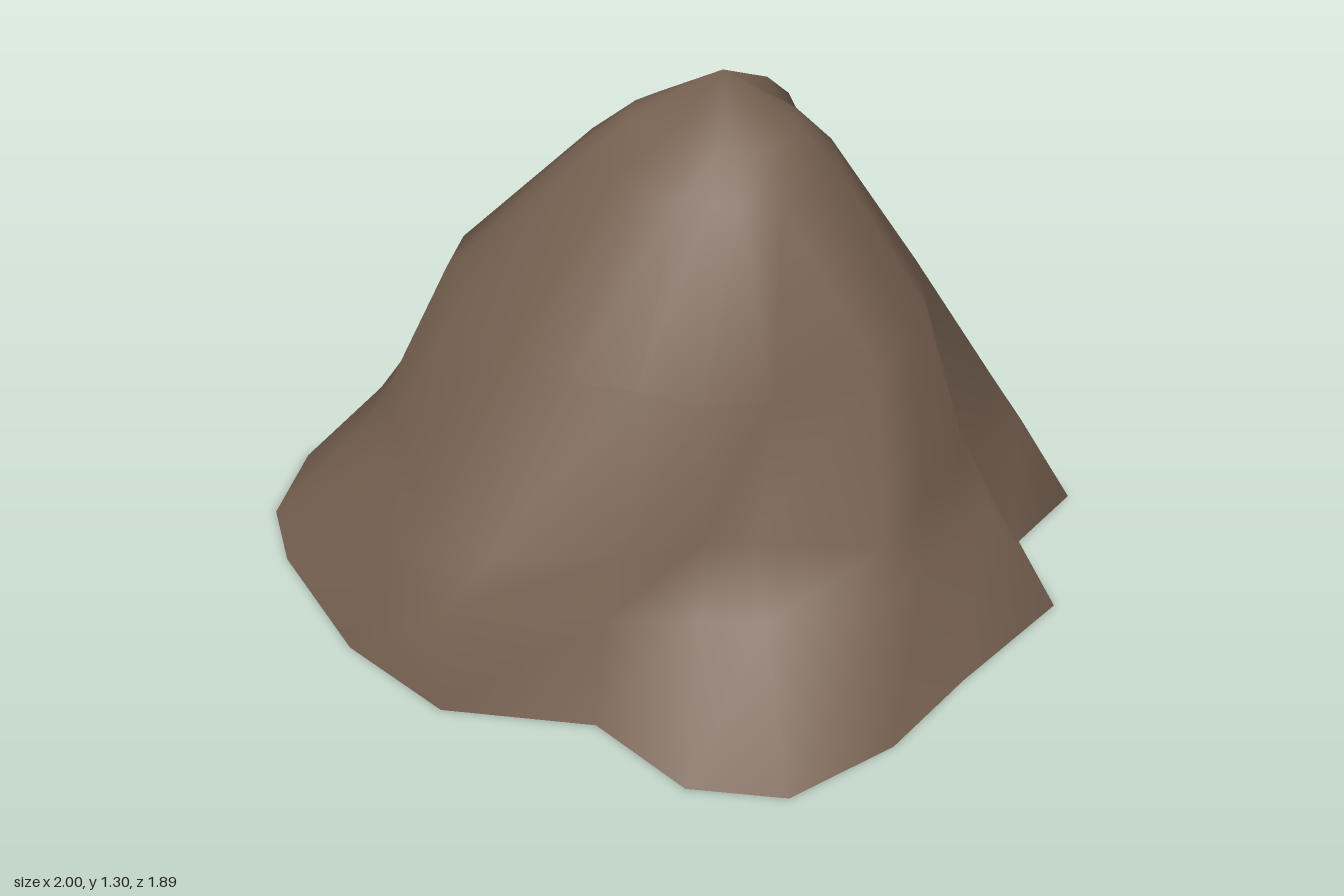
import * as THREE from 'three';

// Ground outline as [x, z], running from +x round through +z
const OUTLINE = [
  [1, -0.24], [0.86, -0.02], [0.95, 0.21], [0.73, 0.51], [0.575, 0.75],
  [0.35, 0.94], [0.12, 0.93], [-0.1, 0.74], [-0.46, 0.72], [-0.71, 0.52],
  [-0.93, 0.2], [-1, 0.01], [-0.97, -0.24], [-0.7, -0.5], [-0.25, -0.87],
  [-0.1, -0.71], [0.19, -0.94], [0.41, -0.95], [0.66, -0.77], [0.85, -0.45],
];

// How far each ring reaches from the peak axis towards the outline
const FOOT = [0.84, 0.84, 0.8, 0.83, 0.84, 0.7, 0.72, 0.92, 0.98, 0.88,
  0.8, 0.8, 0.8, 0.82, 0.77, 0.92, 0.8, 0.8, 0.78, 0.8];
const LEDGE = [0.76, 0.77, 0.72, 0.76, 0.8, 0.56, 0.58, 0.82, 0.9, 0.83,
  0.74, 0.73, 0.73, 0.74, 0.7, 0.84, 0.73, 0.7, 0.67, 0.7];
const WAIST = [0.52, 0.64, 0.6, 0.6, 0.645, 0.56, 0.58, 0.66, 0.64, 0.66,
  0.6, 0.58, 0.58, 0.57, 0.52, 0.62, 0.53, 0.48, 0.43, 0.45];
const SHOULDER = [0.28, 0.35, 0.32, 0.38, 0.33, 0.28, 0.29, 0.36, 0.3, 0.28,
  0.29, 0.29, 0.28, 0.28, 0.27, 0.34, 0.31, 0.32, 0.33, 0.25];

// swing slides a ridge part of the way towards the previous outline corner
const RINGS = [
  { y: 0, reach: OUTLINE.map(() => 1), swing: {} },
  { y: 0.26, reach: FOOT, swing: { 4: 0.3 } },
  { y: 0.38, reach: LEDGE, swing: { 3: 0.2, 4: 0.4, 8: 0.15, 9: 0.2 } },
  {
    y: 0.75, reach: WAIST,
    swing: { 2: 0.3, 3: 0.6, 4: 0.85, 5: 0.2, 8: 0.3, 9: 0.6, 10: 0.3, 17: 0.4, 18: 0.5 },
  },
  { y: 1.1, reach: SHOULDER, swing: { 17: 0.4, 18: 0.5 } },
  { y: 1.19, reach: SHOULDER.map((s) => s * 0.66), swing: { 17: 0.4, 18: 0.5 } },
];
const PEAK = [0.12, 1.3, 0];

function buildGeometry(positions, index) {
  const geometry = new THREE.BufferGeometry();
  geometry.setAttribute('position', new THREE.Float32BufferAttribute(positions, 3));
  geometry.setIndex(index);
  geometry.computeVertexNormals();
  return geometry;
}

// Sloping sides: stacked rings closed by the peak
function slopeGeometry() {
  const n = OUTLINE.length;
  const positions = [];
  const index = [];
  for (const { y, reach, swing } of RINGS) {
    OUTLINE.forEach(([x, z], i) => {
      const [px, pz] = OUTLINE[(i + n - 1) % n];
      const t = swing[i] ?? 0;
      const dx = x + (px - x) * t - PEAK[0];
      const dz = z + (pz - z) * t;
      positions.push(PEAK[0] + dx * reach[i], y, dz * reach[i]);
    });
  }
  positions.push(...PEAK);
  const top = RINGS.length - 1;
  for (let i = 0; i < n; i++) {
    const j = (i + 1) % n;
    for (let r = 0; r < top; r++) {
      const a = r * n + i, b = r * n + j, c = a + n, d = b + n;
      index.push(a, c, b, b, c, d);
    }
    index.push(top * n + i, RINGS.length * n, top * n + j);
  }
  return buildGeometry(positions, index);
}

// Flat underside, with its own corners so the ground edge stays sharp
function undersideGeometry() {
  const n = OUTLINE.length;
  const positions = [PEAK[0], 0, 0];
  const index = [];
  OUTLINE.forEach(([x, z], i) => {
    positions.push(x, 0, z);
    index.push(0, i + 1, ((i + 1) % n) + 1);
  });
  return buildGeometry(positions, index);
}

export function createModel() {
  const rock = new THREE.MeshStandardMaterial({ color: 0x786252 });
  rock.name = 'brown rock';

  const model = new THREE.Group();
  model.name = 'rockMound';
  const parts = { slopes: slopeGeometry(), underside: undersideGeometry() };
  for (const [name, geometry] of Object.entries(parts)) {
    const mesh = new THREE.Mesh(geometry, rock);
    mesh.name = name;
    model.add(mesh);
  }
  return model;
}
